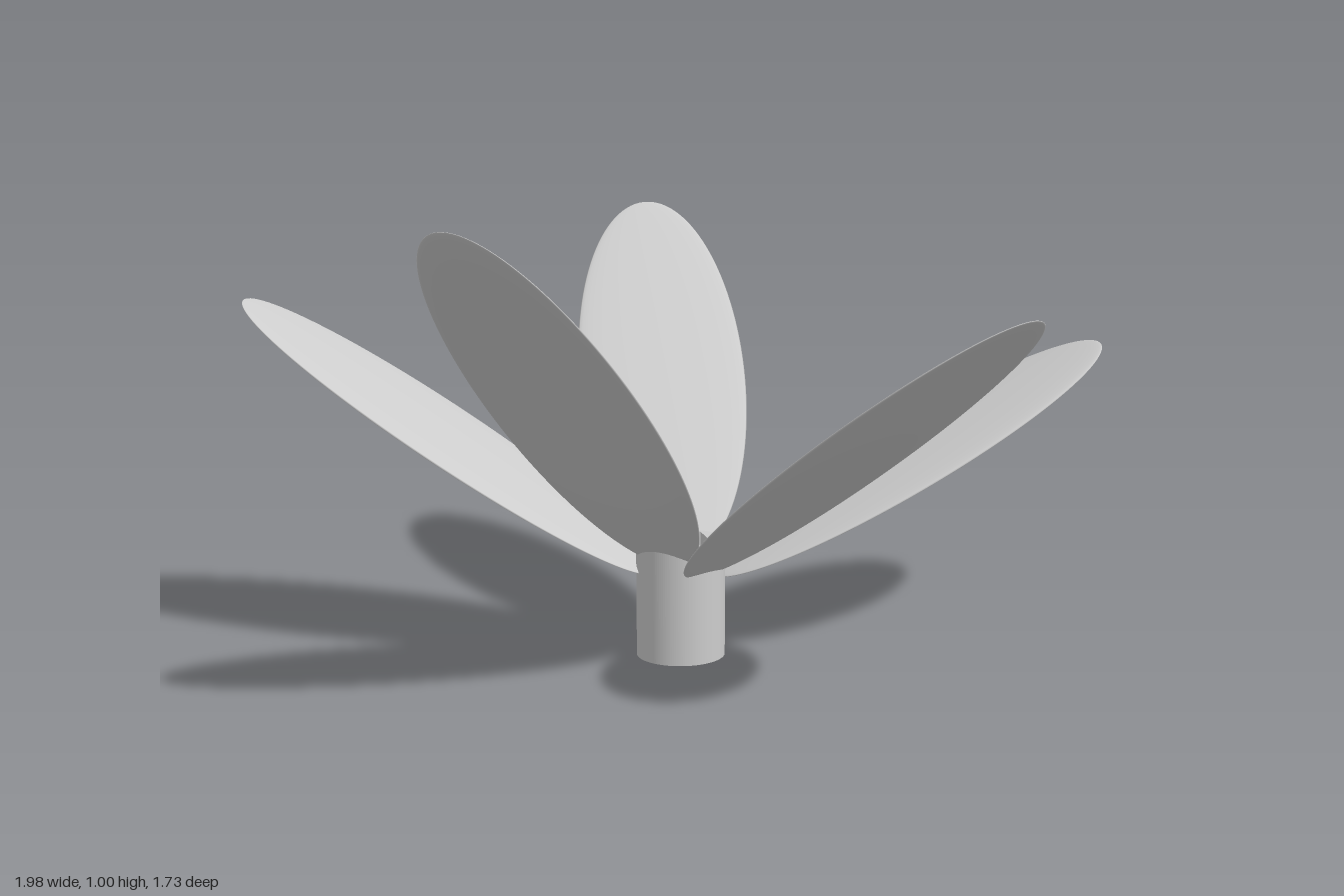
import * as THREE from 'three';

const HUB_X = -0.08, HUB_Z = 0.004, HUB_R = 0.098, HUB_H = 0.26, HOLE = 0.061;

// Flat ellipsoid blade leaning outwards along +x, its root stopped inside the hub wall
function petalGeometry(tilt, reach, height) {
  const g = new THREE.SphereGeometry(1, 40, 56);
  g.rotateZ(-Math.PI / 2);
  g.scale(0.555, 0.014, 0.2);
  g.rotateZ(tilt);
  g.translate(reach, height, 0);
  const p = g.attributes.position, stop = 0.09;
  for (let i = 0; i < p.count; i++) {
    const x = p.getX(i), z = p.getZ(i);
    if (Math.abs(z) >= stop) continue;
    const edge = Math.sqrt(stop * stop - z * z);
    if (x < edge) p.setXYZ(i, edge, p.getY(i) + (edge - x) * Math.tan(tilt), z);
  }
  return g;
}

export function createModel() {
  const model = new THREE.Group();
  model.name = 'flower';
  const grey = new THREE.MeshStandardMaterial({ color: 0xcccccc });
  grey.name = 'light grey';

  // Round hub with a square hole right through it
  const disc = new THREE.Shape().absarc(0, 0, HUB_R, 0, Math.PI * 2);
  disc.holes.push(new THREE.Path([[-1, -1], [-1, 1], [1, 1], [1, -1]]
    .map(([x, y]) => new THREE.Vector2(x * HOLE, y * HOLE))));
  const hubGeometry = new THREE.ExtrudeGeometry(disc, { depth: HUB_H, bevelEnabled: false, curveSegments: 64 });
  hubGeometry.rotateX(-Math.PI / 2);
  const hub = new THREE.Mesh(hubGeometry, grey);
  hub.name = 'hub';
  hub.position.set(HUB_X, 0, HUB_Z);
  model.add(hub);

  // Five petals at equal turns, each with its own tilt: [degrees, reach, centre height]
  const petals = [
    [25, 0.582, 0.405],
    [42, 0.468, 0.569],
    [32, 0.535, 0.476],
    [45.4, 0.436, 0.605],
    [36, 0.513, 0.514],
  ];
  petals.forEach(([deg, reach, height], i) => {
    const petal = new THREE.Mesh(petalGeometry(THREE.MathUtils.degToRad(deg), reach, height), grey);
    petal.name = `petal${i + 1}`;
    petal.position.set(HUB_X, 0, HUB_Z);
    petal.rotation.y = THREE.MathUtils.degToRad(9.7 + 72 * i);
    model.add(petal);
  });
  return model;
}
